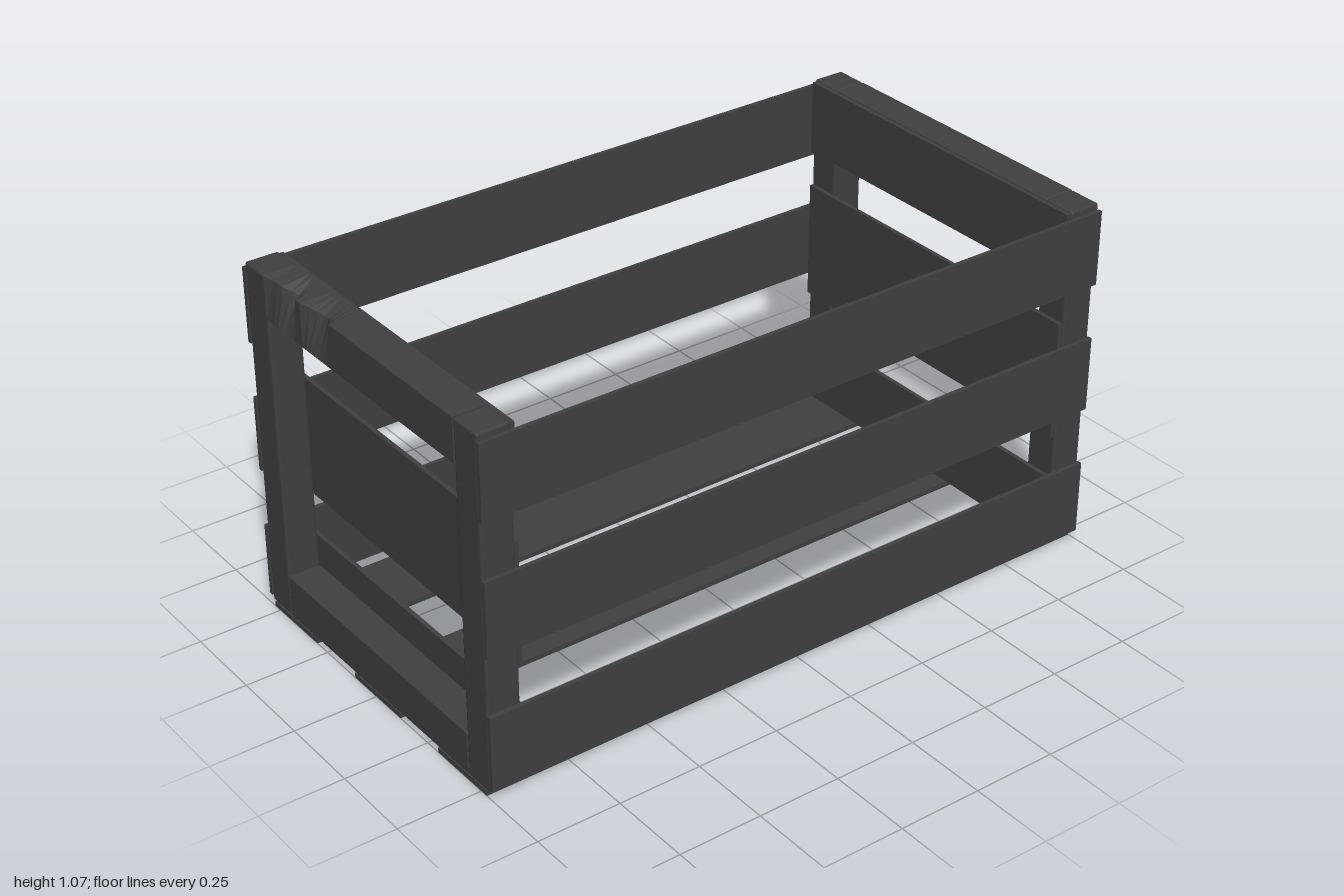
import * as THREE from 'three';
import { RoundedBoxGeometry } from 'three/addons/geometries/RoundedBoxGeometry.js';

const wood = new THREE.MeshStandardMaterial({ color: 0x404040, flatShading: true });

// Board given by its min/max extents on each axis
function board(parent, name, [x0, x1], [y0, y1], [z0, z1], bevel = 0) {
  const w = x1 - x0, h = y1 - y0, d = z1 - z0;
  const geo = bevel
    ? new RoundedBoxGeometry(w, h, d, 1, bevel)
    : new THREE.BoxGeometry(w, h, d);
  const mesh = new THREE.Mesh(geo, wood);
  mesh.name = name;
  mesh.position.set((x0 + x1) / 2, (y0 + y1) / 2, (z0 + z1) / 2);
  parent.add(mesh);
  return mesh;
}

// Rail whose outer top edge (-x side) is splintered at a few spots
function chippedRail(parent, name, y0, y1) {
  const geo = new THREE.BoxGeometry(0.1, y1 - y0, 0.88, 1, 1, 44);
  const chips = [[-0.41, 0.03, 0.02], [-0.34, 0.05, 0.045], [-0.19, 0.06, 0.04]];
  const p = geo.attributes.position;
  for (let i = 0; i < p.count; i++) {
    if (p.getX(i) > 0 || p.getY(i) < 0) continue;
    for (const [z, half, depth] of chips) {
      const k = 1 - Math.abs(p.getZ(i) - z) / half;
      if (k <= 0) continue;
      const bite = depth * Math.sqrt(k);
      p.setX(i, p.getX(i) + bite);
      p.setY(i, p.getY(i) - bite * 0.6);
    }
  }
  geo.computeVertexNormals();
  const mesh = new THREE.Mesh(geo, wood);
  mesh.name = name;
  mesh.position.set(-0.95, (y0 + y1) / 2, 0);
  parent.add(mesh);
}

export function createModel() {
  const crate = new THREE.Group();
  crate.name = 'crate';
  const span = (s, a, b) => (s > 0 ? [a, b] : [-b, -a]);

  // End frames: two posts, two rails and three inner panels each
  for (const s of [1, -1]) {
    const end = new THREE.Group();
    end.name = s > 0 ? 'leftEnd' : 'rightEnd';
    crate.add(end);
    const x = span(s, 0.9, 0.998);
    for (const t of [1, -1]) {
      board(end, t > 0 ? 'frontPost' : 'backPost', x, [0.015, 1.068], span(t, 0.44, 0.54), 0.006);
    }
    board(end, 'bottomRail', x, [0.015, 0.145], [-0.44, 0.44], 0.004);
    if (s > 0) board(end, 'topRail', x, [0.94, 1.068], [-0.44, 0.44], 0.004);
    else chippedRail(end, 'topRail', 0.94, 1.068);
    for (const y of [[0.02, 0.24], [0.37, 0.73], [0.842, 1.063]]) {
      board(end, 'endPanel', span(s, 0.887, 0.9), y, [-0.535, 0.535]);
    }
  }

  // Long slats on the front and back
  for (const t of [1, -1]) {
    for (const y of [[0.03, 0.255], [0.432, 0.658], [0.825, 1.048]]) {
      board(crate, t > 0 ? 'frontSlat' : 'backSlat', [-1, 1], y, span(t, 0.54, 0.553));
    }
  }

  // Floor slats under the frames
  for (const z of [[-0.527, -0.302], [-0.107, 0.119], [0.3, 0.525]]) {
    board(crate, 'floorSlat', [-1, 1], [0, 0.015], z);
  }
  return crate;
}
